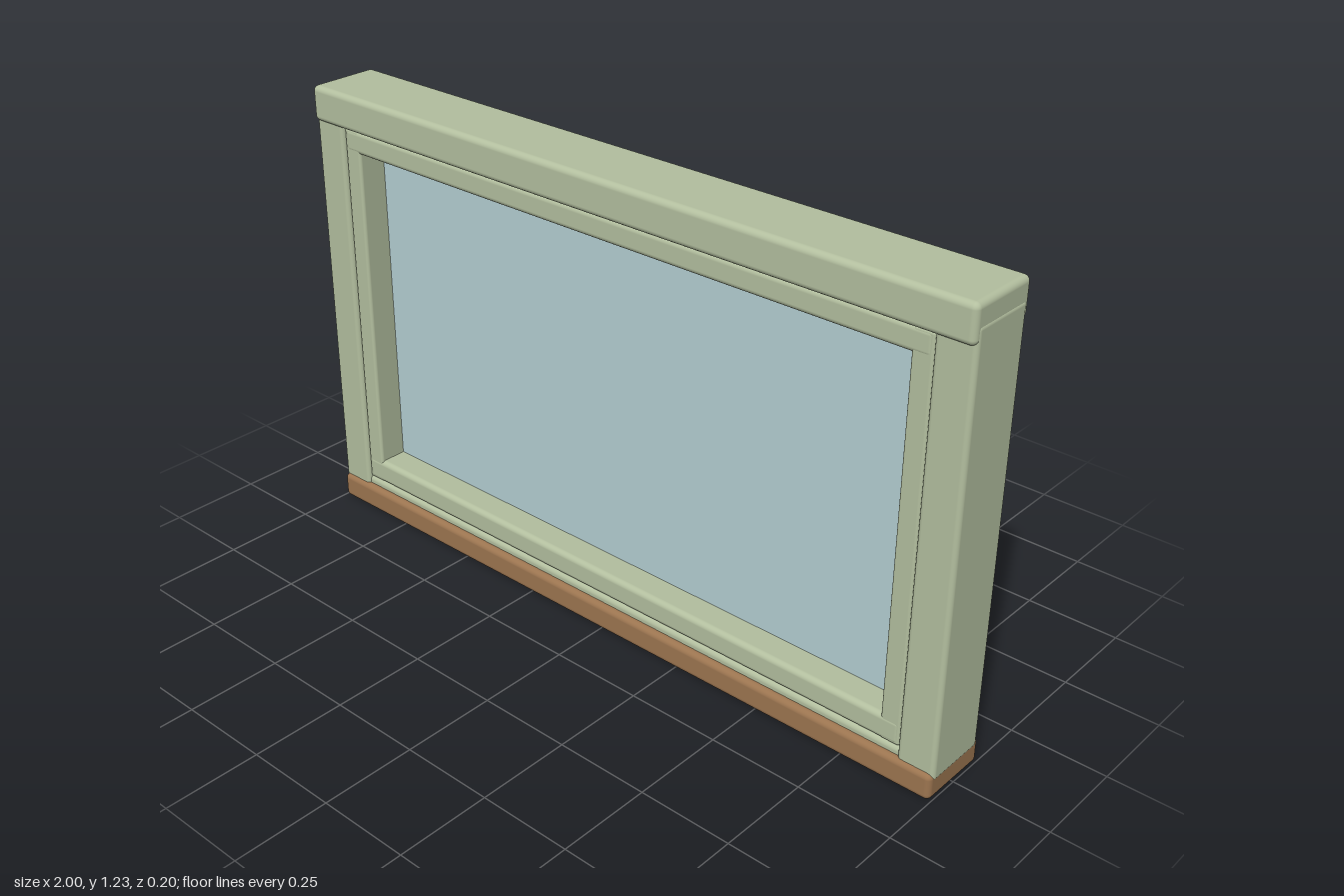
import * as THREE from 'three';
import { RoundedBoxGeometry } from 'three/addons/geometries/RoundedBoxGeometry.js';

const paint = new THREE.MeshStandardMaterial({ color: 0xb3bf9f });
paint.name = 'sage paint';
const wood = new THREE.MeshStandardMaterial({ color: 0x9c7550 });
wood.name = 'brown sill';
const glass = new THREE.MeshStandardMaterial({ color: 0xb4ced2 });
glass.name = 'pale glass';

// Softened bar given by its extents on each axis
function bar(name, [x0, x1], [y0, y1], [z0, z1], radius, material = paint) {
  const geometry = new RoundedBoxGeometry(x1 - x0, y1 - y0, z1 - z0, 4, radius);
  const mesh = new THREE.Mesh(geometry, material);
  mesh.position.set((x0 + x1) / 2, (y0 + y1) / 2, (z0 + z1) / 2);
  mesh.name = name;
  return mesh;
}

export function createModel() {
  const model = new THREE.Group();
  model.name = 'window';

  // Outer frame: head and sill overhang the jambs at front and back
  const frame = new THREE.Group();
  frame.name = 'outerFrame';
  const full = [-0.998, 0.998];
  frame.add(bar('head', full, [1.13, 1.225], [-0.1, 0.1], 0.015));
  frame.add(bar('sill', full, [0, 0.072], [-0.1, 0.1], 0.015, wood));
  frame.add(bar('topFrameRail', [-0.92, 0.92], [1.125, 1.17], [-0.088, 0.088], 0.012));
  frame.add(bar('bottomFrameRail', [-0.92, 0.92], [0.04, 0.093], [-0.088, 0.083], 0.014));

  // Sash: stiles and rails around the pane, close to the front
  const sash = new THREE.Group();
  sash.name = 'sash';
  const depth = [-0.06, 0.084];
  sash.add(bar('topSashRail', [-0.899, 0.899], [1.066, 1.13], depth, 0.014));
  sash.add(bar('bottomSashRail', [-0.899, 0.899], [0.093, 0.16], depth, 0.014));

  for (const side of [-1, 1]) {
    const label = side > 0 ? 'left' : 'right';
    const span = (a, b) => (side > 0 ? [a, b] : [-b, -a]);
    frame.add(bar(label + 'Jamb', span(0.9, 1), [0.05, 1.175], [-0.09, 0.09], 0.012));
    sash.add(bar(label + 'Stile', span(0.845, 0.9), [0.094, 1.129], [-0.059, 0.083], 0.008));
  }

  // Thin pane held inside the sash
  const pane = new THREE.Mesh(new THREE.BoxGeometry(1.72, 0.94, 0.01), glass);
  pane.position.set(0, 0.613, 0);
  pane.name = 'pane';
  sash.add(pane);

  model.add(frame, sash);
  return model;
}
